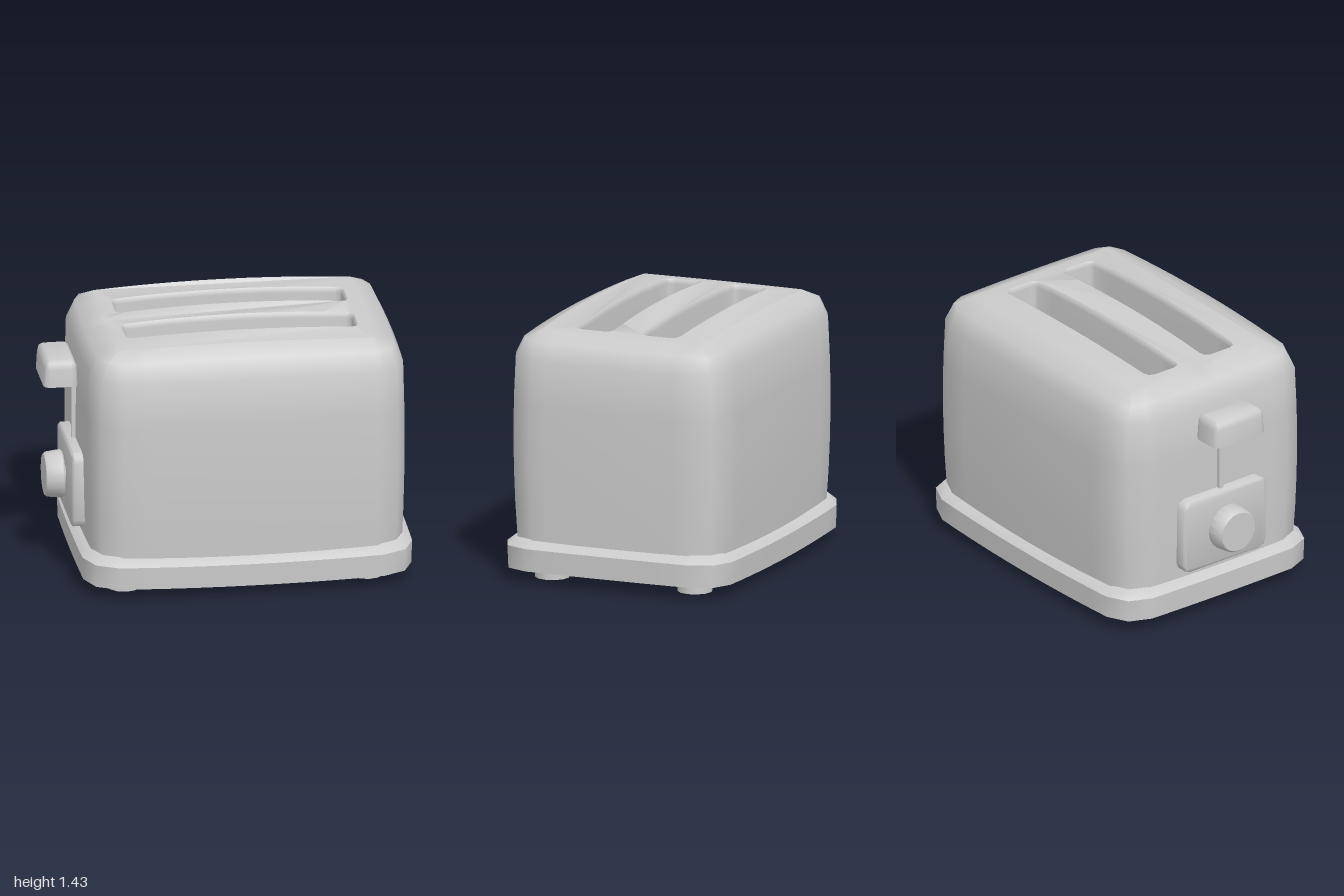
import * as THREE from 'three';
import { mergeGeometries, toCreasedNormals } from 'three/addons/utils/BufferGeometryUtils.js';

const material = new THREE.MeshStandardMaterial({ color: 0xcccccc });
const CENTRE_X = 0.08;

// Rounded rectangle in the xz plane at height y; n pieces per straight side, two per corner
function ring(cx, cz, hx, hz, r, y, n = 1) {
  const corners = [[1, 1], [-1, 1], [-1, -1], [1, -1]].map(([sx, sz], q) =>
    [0, 1, 2].map((k) => {
      const a = (q + k / 2) * Math.PI / 2;
      return new THREE.Vector3(cx + sx * (hx - r) + r * Math.cos(a), y, cz + sz * (hz - r) + r * Math.sin(a));
    }));
  return corners.flatMap((arc, q) => {
    const next = corners[(q + 1) % 4][0];
    const side = [];
    for (let i = 1; i < n; i++) side.push(arc[2].clone().lerp(next, i / n));
    return [...arc, ...side];
  });
}

// Skin between successive rings; rising rings face outwards, falling rings inwards
function loft(rings) {
  const n = rings[0].length;
  const index = [];
  for (let j = 0; j < rings.length - 1; j++) {
    for (let i = 0; i < n; i++) {
      const a = j * n + i, b = j * n + (i + 1) % n;
      index.push(a, a + n, b, b, a + n, b + n);
    }
  }
  const geo = new THREE.BufferGeometry().setFromPoints(rings.flat());
  geo.setIndex(index);
  return geo;
}

// Flat lid on a ring, with optional holes; dir is 1 facing up, -1 facing down
function cap(outline, dir = 1, holes = []) {
  const flat = (pts) => pts.map((p) => new THREE.Vector2(p.x, -dir * p.z));
  const shape = new THREE.Shape(flat(outline));
  shape.holes = holes.map((h) => new THREE.Path(flat(h)));
  const geo = new THREE.ShapeGeometry(shape);
  geo.rotateX(-dir * Math.PI / 2).translate(0, outline[0].y, 0);
  geo.deleteAttribute('normal');
  geo.deleteAttribute('uv');
  return geo;
}

// Join pieces, bend them by a rule and give them creased normals
function finish(parts, bend, crease = 0.85) {
  const geo = mergeGeometries(parts);
  if (bend) {
    const p = geo.attributes.position;
    for (let i = 0; i < p.count; i++) p.setXYZ(i, ...bend(p.getX(i), p.getY(i), p.getZ(i)));
  }
  return toCreasedNormals(geo, crease);
}

// Solid from rows of [height, inset]
function rowsSolid(cx, cz, hx, hz, r, rows, n) {
  const rings = rows.map(([y, d]) => ring(cx, cz, hx - d, hz - d, Math.max(r - d, 0.004), y, n));
  return { rings, skin: loft(rings), top: rings[rings.length - 1] };
}

function bodyGeometry() {
  const rows = [[0.2, 0], [0.4, 0], [0.6, 0], [0.8, 0], [1.0, 0], [1.25, 0], [1.35, 0.044], [1.395, 0.15]];
  const { skin, top } = rowsSolid(0, 0, 0.865, 0.63, 0.15, rows, 10);
  // Slots: softened rim, walls and floor
  const slots = [-1, 1].map((s) => [[1.395, 0.012], [1.385, 0.003], [1.365, 0], [0.9, 0], [0.45, 0]].map(
    ([y, d]) => ring(0, s * 0.197, 0.63 + d, 0.1 + d, 0.03 + d, y, 10)));
  const parts = [skin, cap(top, 1, slots.map((s) => s[0]))];
  slots.forEach((s) => parts.push(loft(s), cap(s[4])));
  // Gentle bulge of all sides and of the top
  return finish(parts, (x, y, z) => {
    const u = (x / 0.87) ** 2, v = (z / 0.63) ** 2, w = ((y - 0.8) / 0.56) ** 2;
    const lift = THREE.MathUtils.clamp((y - 0.8) / 0.59, 0, 1) * Math.max(0, 1 - u / 0.7) * (1 - 0.7 * v);
    return [
      x * (1 + 0.02 * (1 - v) - 0.012 * w),
      y + 0.035 * lift,
      z * (1 + 0.045 * (1 - u) - 0.03 * w),
    ];
  });
}

function baseGeometry() {
  const rows = [[0.073, 0.005], [0.2, 0], [0.245, 0.057], [0.245, 0.12]];
  const { rings, skin } = rowsSolid(0, 0, 0.908, 0.66, 0.175, rows, 10);
  return finish([skin, cap(rings[0], -1)], (x, y, z) => {
    const u = (x / 0.91) ** 2, v = (z / 0.66) ** 2;
    return [x * (1 + 0.013 * (1 - v)), y - 0.014 * (1 - u), z * (1 + 0.036 * (1 - u))];
  }, 0.82);
}

export function createModel() {
  const group = new THREE.Group();
  const add = (name, geo, x = 0, y = 0, z = 0) => {
    const mesh = new THREE.Mesh(geo, material);
    mesh.name = name;
    mesh.position.set(x, y, z);
    group.add(mesh);
    return mesh;
  };

  add('body', bodyGeometry(), CENTRE_X);
  add('base', baseGeometry(), CENTRE_X);

  // Feet
  for (const x of [-0.595, 0.75]) {
    for (const z of [-0.425, 0.425]) {
      add('foot', new THREE.CylinderGeometry(0.097, 0.097, 0.09, 12), x, 0.045, z);
    }
  }

  // Lever handle with a flat underside and rounded top
  const handle = rowsSolid(-0.905, 0, 0.095, 0.175, 0.035,
    [[1.085, 0], [1.185, 0.006], [1.218, 0.014], [1.232, 0.034]]);
  add('leverHandle', finish([handle.skin, cap(handle.rings[0], -1), cap(handle.top)]));

  // Tapered bracket under the handle
  const bracket = new THREE.Shape([[-0.79, 1.025], [-0.84, 1.035], [-0.895, 1.05], [-0.905, 1.09], [-0.79, 1.09]]
    .map(([x, y]) => new THREE.Vector2(x, y)));
  add('leverBracket', new THREE.ExtrudeGeometry(bracket, { depth: 0.06, bevelEnabled: false }), 0, 0, -0.03);

  // Upright rail the lever slides on
  add('leverRail', new THREE.BoxGeometry(0.04, 0.46, 0.028), -0.805, 0.92, 0);

  // Control plate on the side wall
  const plate = rowsSolid(0.507, 0, 0.217, 0.288, 0.05, [[0.78, 0], [0.848, 0], [0.86, 0.012]]);
  add('controlPlate', finish([plate.skin, cap(plate.rings[0], -1), cap(plate.top)])).rotation.z = Math.PI / 2;

  // Dial with a short shaft
  const profile = [[0.05, 0.84], [0.05, 0.873], [0.125, 0.873], [0.134, 0.883], [0.124, 0.965], [0.114, 0.977], [0, 0.977]]
    .map(([r, y]) => new THREE.Vector2(r, y));
  const dial = add('dial', toCreasedNormals(new THREE.LatheGeometry(profile, 20), 0.85), 0, 0.513, 0);
  dial.rotation.z = Math.PI / 2;

  return group;
}
